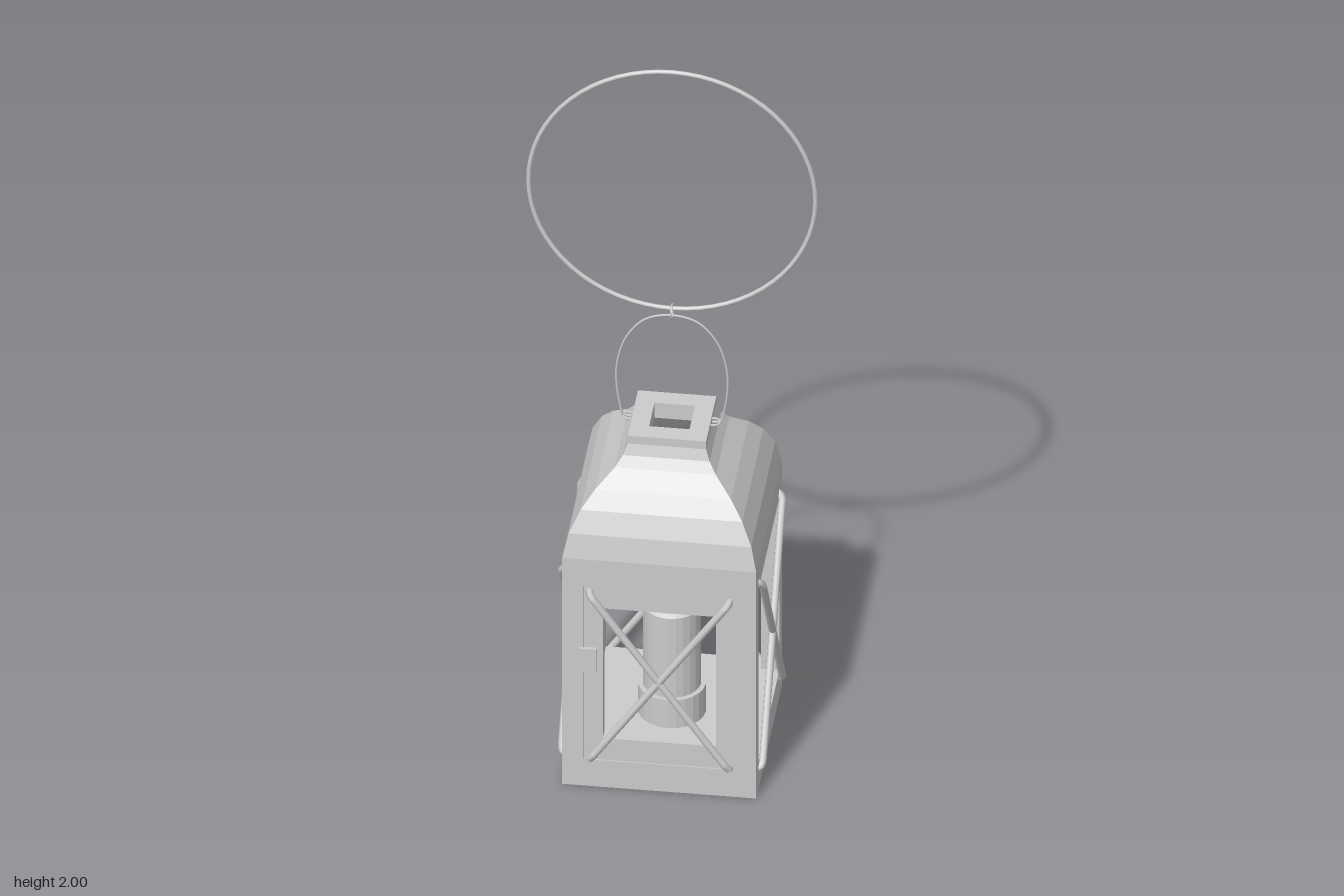
import * as THREE from 'three';

const metal = new THREE.MeshStandardMaterial({ color: 0xcccccc });
const flatMetal = new THREE.MeshStandardMaterial({ color: 0xcccccc, flatShading: true });
const V = (x, y, z) => new THREE.Vector3(x, y, z);

function add(parent, name, geometry, material, x = 0, y = 0, z = 0) {
  const mesh = new THREE.Mesh(geometry, material);
  mesh.name = name;
  mesh.position.set(x, y, z);
  parent.add(mesh);
  return mesh;
}

// Lathe from [radius, height] pairs
function lathe(points, sides, phase = 0) {
  return new THREE.LatheGeometry(points.map(([r, y]) => new THREE.Vector2(r, y)), sides, phase);
}

// Round bar lying on a wall face, its ends bent back into the frame
function braceRod(from, to) {
  const inset = (a, b, t, z) => V(a[0] + (b[0] - a[0]) * t, a[1] + (b[1] - a[1]) * t, z);
  const path = new THREE.CurvePath();
  const pts = [V(from[0], from[1], 0.225), inset(from, to, 0.005, 0.243), inset(from, to, 0.03, 0.249),
    inset(from, to, 0.97, 0.249), inset(from, to, 0.995, 0.243), V(to[0], to[1], 0.225)];
  for (let i = 0; i < pts.length - 1; i++) path.add(new THREE.LineCurve3(pts[i], pts[i + 1]));
  return new THREE.TubeGeometry(path, 60, 0.0095, 8);
}

export function createModel() {
  const lantern = new THREE.Group();
  lantern.name = 'lantern';

  // Base slab and four corner posts
  add(lantern, 'base', new THREE.BoxGeometry(0.48, 0.08, 0.48), metal, 0, 0.04, 0);
  for (const x of [-1, 1]) for (const z of [-1, 1]) {
    add(lantern, 'cornerPost', new THREE.BoxGeometry(0.045, 0.53, 0.045), metal, x * 0.2175, 0.34, z * 0.2175);
  }

  // Hollow square roof with an open chimney
  const roofProfile = [
    [0.24, 0.6], [0.24, 0.68], [0.226, 0.745], [0.2, 0.8], [0.168, 0.842], [0.125, 0.882],
    [0.107, 0.908], [0.097, 0.937], [0.097, 0.96], [0.05, 0.96], [0.05, 0.915], [0.1, 0.86],
    [0.15, 0.82], [0.18, 0.785], [0.2, 0.74], [0.208, 0.68], [0.208, 0.6], [0.24, 0.6],
  ].map(([r, y]) => [r * Math.SQRT2, y]);
  add(lantern, 'roof', lathe(roofProfile, 4, Math.PI / 4), flatMetal);

  // Door frame in the front wall, with its latch
  const door = new THREE.Shape();
  door.moveTo(-0.187, 0.075).lineTo(0.187, 0.075).lineTo(0.187, 0.6).lineTo(-0.187, 0.6).closePath();
  const opening = new THREE.Path();
  opening.moveTo(-0.14, 0.145).lineTo(-0.14, 0.535).lineTo(0.14, 0.535).lineTo(0.14, 0.145).closePath();
  door.holes.push(opening);
  add(lantern, 'door', new THREE.ExtrudeGeometry(door, { depth: 0.03, bevelEnabled: false }), metal, 0, 0, 0.207);
  // Thin stiles closing the front wall beside the door
  for (const s of [-1, 1]) {
    add(lantern, 'doorJamb', new THREE.BoxGeometry(0.01, 0.53, 0.04), metal, s * 0.192, 0.335, 0.22);
  }
  add(lantern, 'latch', new THREE.BoxGeometry(0.045, 0.07, 0.035), metal, -0.177, 0.38, 0.2285);

  // Crossed rods on all four sides
  for (let i = 0; i < 4; i++) {
    const side = new THREE.Group();
    side.name = 'crossBrace';
    side.rotation.y = (i * Math.PI) / 2;
    const [w, low, high] = i === 0 ? [0.175, 0.08, 0.585] : [0.195, 0.055, 0.62];
    for (const s of [-1, 1]) add(side, 'rod', braceRod([-s * w, low], [s * w, high]), metal);
    lantern.add(side);
  }

  // Candle standing in a low cup
  add(lantern, 'candleCup', lathe([[0, 0.08], [0.084, 0.08], [0.084, 0.163], [0.072, 0.163]], 24), flatMetal);
  add(lantern, 'candle', lathe([[0.072, 0.08], [0.072, 0.4], [0.062, 0.406], [0.03, 0.411], [0, 0.412]], 24), flatMetal);

  // Wire bail with hooked ends
  const half = [[0.1, 0.952], [0.121, 0.955], [0.128, 0.98], [0.138, 1.06], [0.134, 1.12], [0.112, 1.19], [0.065, 1.246]];
  const bail = [
    ...half.map(([x, y]) => V(-x, y, 0)), V(0, 1.263, 0),
    ...half.slice().reverse().map(([x, y]) => V(x, y, 0)),
  ];
  add(lantern, 'bail', new THREE.TubeGeometry(new THREE.CatmullRomCurve3(bail), 80, 0.003, 6), metal);
  for (const s of [-1, 1]) {
    const eye = add(lantern, 'bailEye', new THREE.TorusGeometry(0.015, 0.003, 6, 16), metal, s * 0.104, 0.952, 0);
    eye.rotation.x = Math.PI / 2;
  }

  // Small link and the large hanging ring
  const link = add(lantern, 'link', new THREE.TorusGeometry(0.018, 0.003, 6, 20), metal, 0, 1.275, 0);
  link.rotation.y = Math.PI / 2;
  add(lantern, 'hangingRing', new THREE.TorusGeometry(0.355, 0.006, 8, 64), metal, 0, 1.639, 0);

  return lantern;
}
